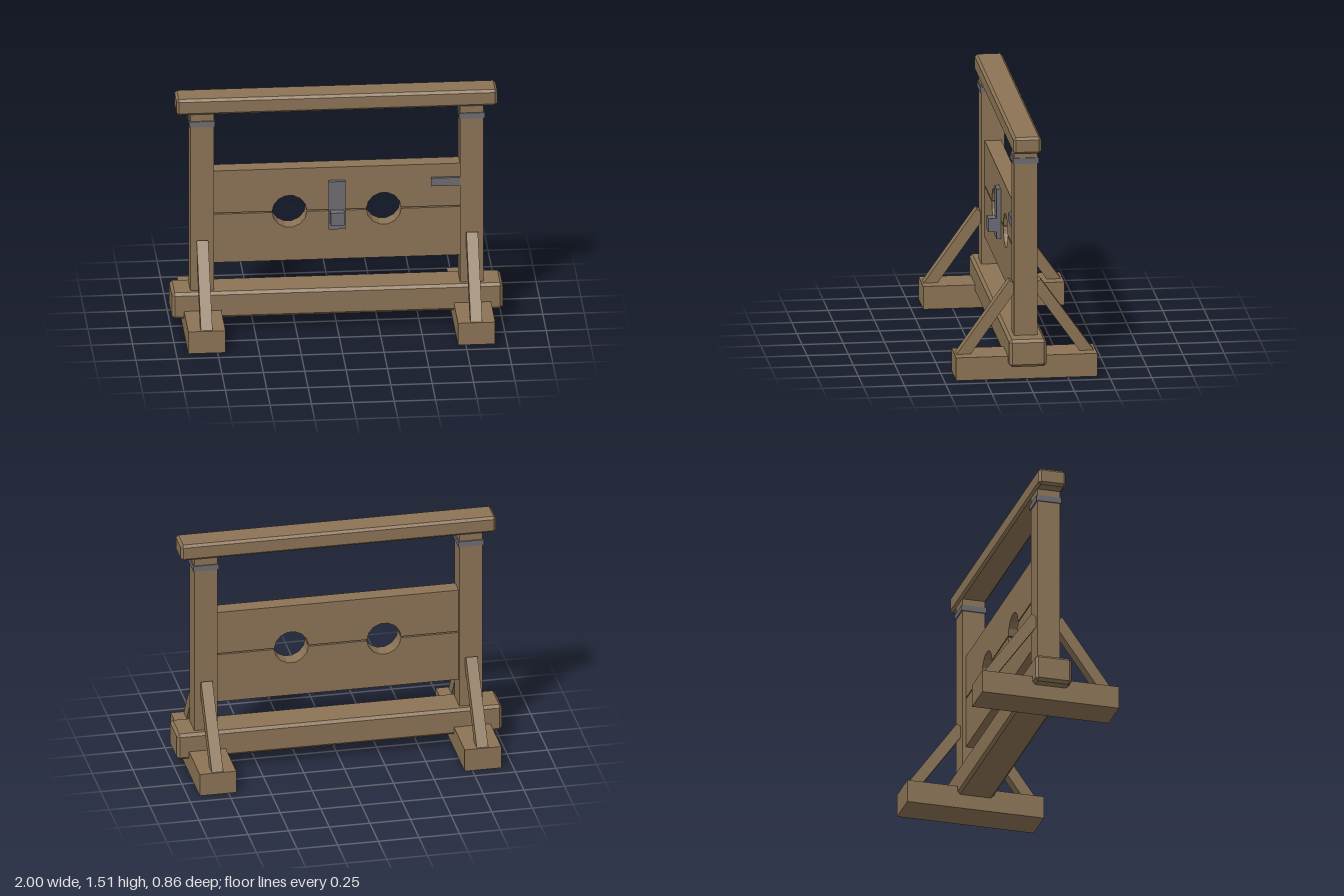
import * as THREE from 'three';
import { ConvexGeometry } from 'three/addons/geometries/ConvexGeometry.js';

const wood = new THREE.MeshStandardMaterial({ color: 0x8b7355 });
wood.name = 'wood';
const iron = new THREE.MeshStandardMaterial({ color: 0x6b6b72 });
iron.name = 'iron';

function add(parent, name, geometry, material, x = 0, y = 0, z = 0) {
  const mesh = new THREE.Mesh(geometry, material);
  mesh.name = name;
  mesh.position.set(x, y, z);
  parent.add(mesh);
  return mesh;
}

// Box with every edge and corner cut at 45 degrees
function chamferedBox(w, h, d, c) {
  const points = [];
  for (const sx of [-1, 1]) for (const sy of [-1, 1]) for (const sz of [-1, 1]) {
    const x = w / 2, y = h / 2, z = d / 2;
    points.push(
      new THREE.Vector3(sx * x, sy * (y - c), sz * (z - c)),
      new THREE.Vector3(sx * (x - c), sy * y, sz * (z - c)),
      new THREE.Vector3(sx * (x - c), sy * (y - c), sz * z));
  }
  return new ConvexGeometry(points);
}

// Plank with two half-round notches in the edge that meets its partner
function notchedBoard(outerY, innerY) {
  const centreY = 0.75, r = 0.105, steps = 7;
  const side = Math.sign(outerY - centreY);
  const shape = new THREE.Shape();
  shape.moveTo(-0.75, outerY);
  shape.lineTo(-0.75, innerY);
  for (const cx of [-0.285, 0.285]) {
    for (let i = 0; i <= steps; i++) {
      const a = Math.PI * (1 - i / steps);
      const atEdge = i === 0 || i === steps;
      shape.lineTo(cx + r * Math.cos(a), atEdge ? innerY : centreY + side * r * Math.sin(a));
    }
  }
  shape.lineTo(0.75, innerY);
  shape.lineTo(0.75, outerY);
  shape.closePath();
  return new THREE.ExtrudeGeometry(shape, { depth: 0.1, bevelEnabled: false }).translate(0, 0, -0.05);
}

export function createModel() {
  const model = new THREE.Group();
  model.name = 'stocks';

  // Horizontal beams
  add(model, 'baseBeam', chamferedBox(2, 0.17, 0.226, 0.017), wood, 0, 0.175);
  add(model, 'topBeam', chamferedBox(1.94, 0.104, 0.17, 0.015), wood, 0, 1.463);

  // Boards closing around the holes
  add(model, 'lowerBoard', notchedBoard(0.43, 0.746), wood);
  add(model, 'upperBoard', notchedBoard(1.03, 0.754), wood);

  // Uprights with feet, iron bands and diagonal braces
  for (const s of [-1, 1]) {
    const frame = new THREE.Group();
    frame.name = s > 0 ? 'leftFrame' : 'rightFrame';
    frame.position.x = s * 0.815;
    model.add(frame);
    add(frame, 'foot', new THREE.BoxGeometry(0.225, 0.143, 0.856), wood, 0, 0.0715);
    add(frame, 'post', new THREE.BoxGeometry(0.142, 1.28, 0.142), wood, 0, 0.78);
    add(frame, 'band', new THREE.BoxGeometry(0.156, 0.036, 0.156), iron, 0, 1.35);
    for (const f of [-1, 1]) {
      const brace = add(frame, f > 0 ? 'frontBrace' : 'backBrace',
        new THREE.BoxGeometry(0.07, 0.558, 0.07), wood, 0, 0.348, f * 0.228);
      brace.rotation.x = -f * 0.617;
    }
  }

  // Iron fittings on the front
  add(model, 'hasp', new THREE.BoxGeometry(0.1, 0.312, 0.026), iron, 0, 0.789, 0.062);
  add(model, 'lock', new THREE.BoxGeometry(0.083, 0.083, 0.055), iron, 0, 0.718, 0.097);
  add(model, 'hinge', new THREE.BoxGeometry(0.18, 0.052, 0.02), iron, 0.66, 0.918, 0.058);

  return model;
}
